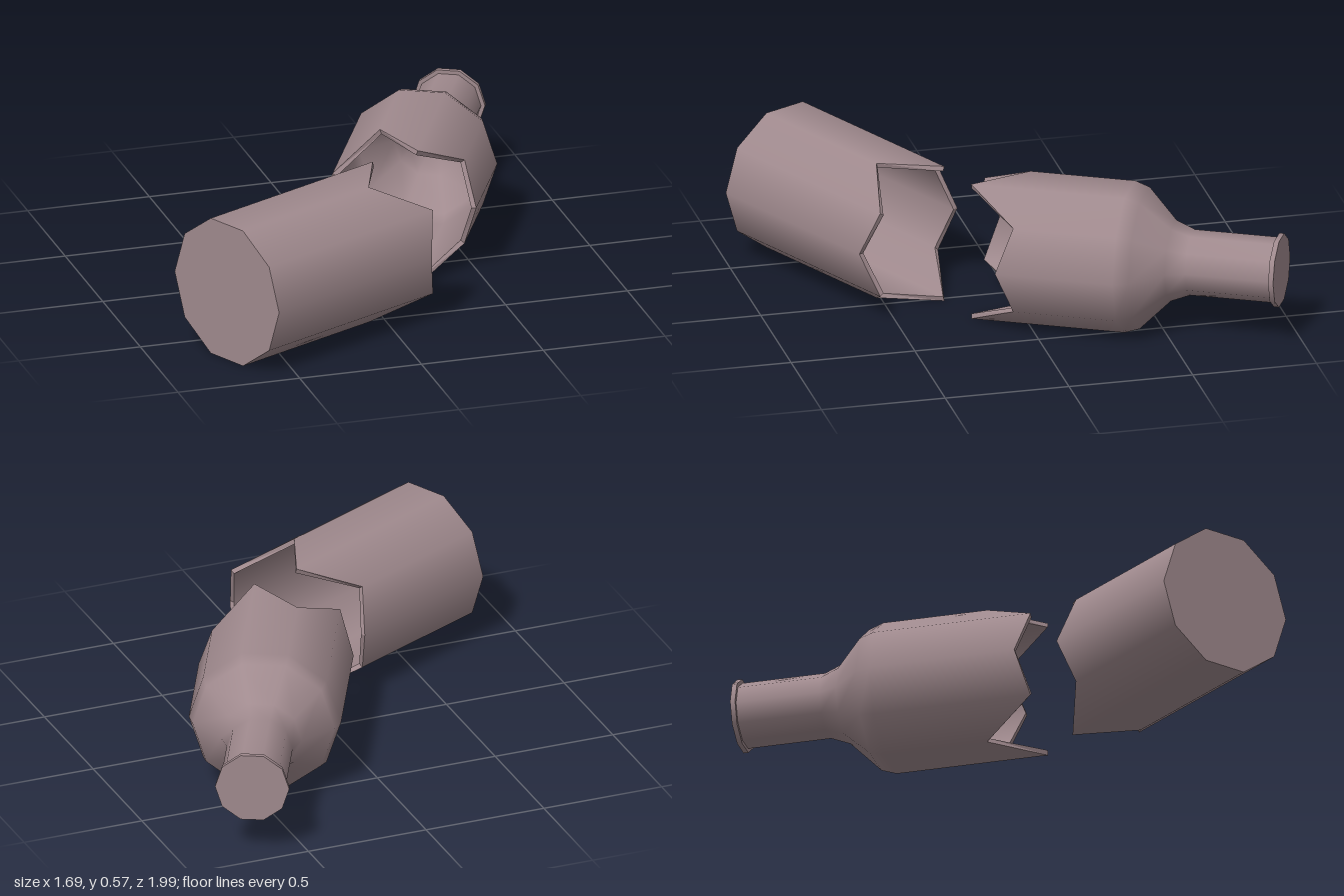
import * as THREE from 'three';

const SIDES = 10;
const CENTER_Y = 0.285;
// Height of the fracture at each of the ten corners, mirrored round the axis
const HALF = [0.82, 0.88, 0.675, 0.87, 0.65, 0.70];
const FRACTURE = [...HALF, ...HALF.slice(1, 5).reverse()];
const BREAK = 0.8; // profile points at this height follow the fracture

const material = new THREE.MeshStandardMaterial({ color: 0xa08a8e });

// One smooth band of the bottle; corners on the break are moved to the jagged line
function band(name, profile, flat = false) {
  const points = profile.map(([r, y]) => new THREE.Vector2(r, y));
  let geometry = new THREE.LatheGeometry(points, SIDES, Math.PI / 2);
  const position = geometry.attributes.position;
  for (let i = 0; i <= SIDES; i++) {
    profile.forEach(([, y], j) => {
      if (y === BREAK) position.setY(i * profile.length + j, FRACTURE[i % SIDES]);
    });
  }
  if (flat) {
    geometry = geometry.toNonIndexed();
    geometry.computeVertexNormals();
  }
  const mesh = new THREE.Mesh(geometry, material);
  mesh.name = name;
  return mesh;
}

// Lays a piece on its side: its axis turns to (dx, dz), its base centre goes to (x, z)
function lay(group, x, z, dx, dz) {
  const axis = new THREE.Vector3(dx, 0, dz).normalize();
  const side = new THREE.Vector3(-axis.z, 0, axis.x);
  const basis = new THREE.Matrix4().makeBasis(side, axis, new THREE.Vector3(0, 1, 0));
  group.quaternion.setFromRotationMatrix(basis);
  group.position.set(x, CENTER_Y, z);
  return group;
}

export function createModel() {
  const model = new THREE.Group();
  model.name = 'brokenBottle';

  // Lower half: base, wall and jagged rim
  const lower = new THREE.Group();
  lower.name = 'lowerPiece';
  lower.add(
    band('base', [[0, 0], [0.3, 0]]),
    band('lowerOuterWall', [[0.3, 0], [0.3, BREAK]]),
    band('lowerBrokenRim', [[0.3, BREAK], [0.28, BREAK]], true),
    band('lowerInnerWall', [[0.28, BREAK], [0.28, 0.02]]),
    band('innerFloor', [[0.28, 0.02], [0, 0.02]])
  );
  model.add(lay(lower, -0.715, 0.728, 0.899, -0.437));

  // Upper half: jagged rim, shoulder, neck and closed mouth
  const upper = new THREE.Group();
  upper.name = 'upperPiece';
  upper.add(
    band('upperOuterWall', [
      [0.3, BREAK], [0.3, 1.293], [0.28, 1.353], [0.16, 1.47], [0.13, 1.546], [0.13, 1.885],
    ]),
    band('lipUnderside', [[0.13, 1.885], [0.146, 1.885]]),
    band('lip', [[0.146, 1.885], [0.146, 1.905]]),
    band('mouth', [[0.146, 1.905], [0, 1.905]]),
    band('upperBrokenRim', [[0.28, BREAK], [0.3, BREAK]], true),
    band('upperInnerWall', [
      [0.11, 1.88], [0.11, 1.54], [0.14, 1.46], [0.26, 1.343], [0.28, 1.283], [0.28, BREAK],
    ]),
    band('mouthInside', [[0, 1.88], [0.11, 1.88]])
  );
  model.add(lay(upper, -0.161, 0.764, 0.457, -0.889));

  return model;
}
